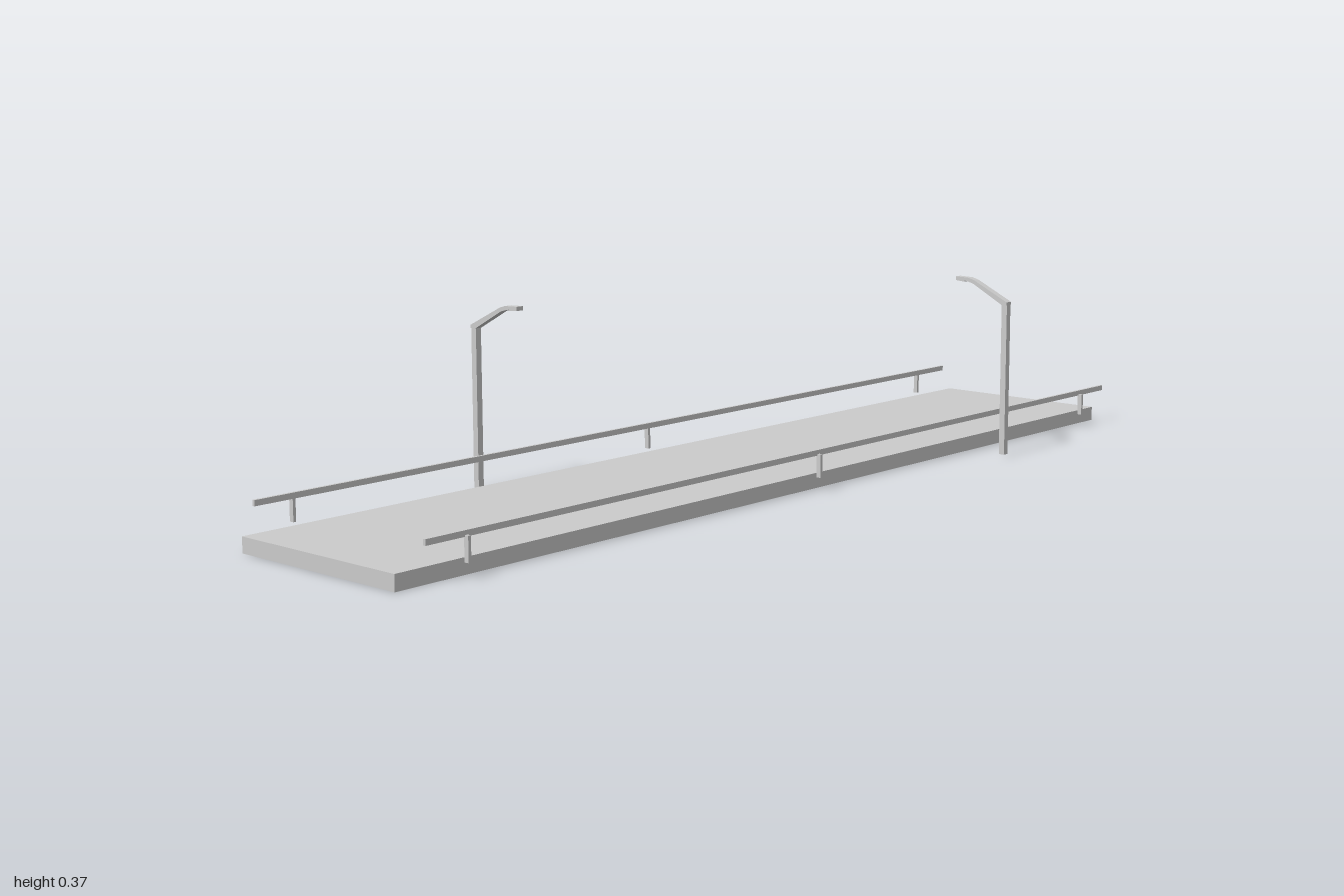
import * as THREE from 'three';

const material = new THREE.MeshStandardMaterial({ color: 0xcccccc, flatShading: true, side: THREE.DoubleSide });

function box(name, w, h, d, x, y, z, parent) {
  const mesh = new THREE.Mesh(new THREE.BoxGeometry(w, h, d), material);
  mesh.name = name;
  mesh.position.set(x, y, z);
  parent.add(mesh);
  return mesh;
}

// Street lamp whose arm reaches towards +x
function makeLamp(name) {
  const lamp = new THREE.Group();
  lamp.name = name;
  box('lampPole', 0.013, 0.317, 0.013, 0, 0.1635, 0, lamp);

  // Bent arm with a slightly thicker head, as a side profile
  const profile = [
    [-0.0065, 0.32], [0.0065, 0.32], [0.079, 0.359], [0.1, 0.364], [0.1, 0.361],
    [0.122, 0.363], [0.122, 0.371], [0.09, 0.37], [0.076, 0.366], [-0.0065, 0.326],
  ];
  const shape = new THREE.Shape(profile.map(([x, y]) => new THREE.Vector2(x, y)));
  const geometry = new THREE.ExtrudeGeometry(shape, { depth: 0.016, bevelEnabled: false });
  geometry.translate(0, 0, -0.008);
  const arm = new THREE.Mesh(geometry, material);
  arm.name = 'lampArm';
  lamp.add(arm);
  return lamp;
}

export function createModel() {
  const model = new THREE.Group();
  model.name = 'footbridge';

  // The bridge runs diagonally; parts are laid out along its own z axis
  const bridge = new THREE.Group();
  bridge.name = 'bridge';
  bridge.position.set(-0.0125, 0, 0.005);
  bridge.rotation.y = -Math.PI / 6;
  model.add(bridge);

  box('deck', 0.398, 0.03, 2.067, 0, 0.015, 0, bridge);

  // Handrails and their short posts on both sides
  for (const side of [-1, 1]) {
    const railing = new THREE.Group();
    railing.name = side < 0 ? 'rightRailing' : 'leftRailing';
    bridge.add(railing);
    box('handrail', 0.006, 0.011, 2.022, side * 0.2225, 0.0775, -0.021, railing);
    for (const z of [0.903, -0.005, -0.937]) {
      box('railPost', 0.01, 0.046, 0.006, side * 0.228, 0.052, z, railing);
    }
  }

  // Lamps lean in over the deck
  const rightLamp = makeLamp('rightLamp');
  rightLamp.position.set(-0.2725, 0, 0.423);
  const leftLamp = makeLamp('leftLamp');
  leftLamp.position.set(0.2925, 0, -0.538);
  leftLamp.rotation.y = Math.PI;
  bridge.add(rightLamp, leftLamp);

  return model;
}
